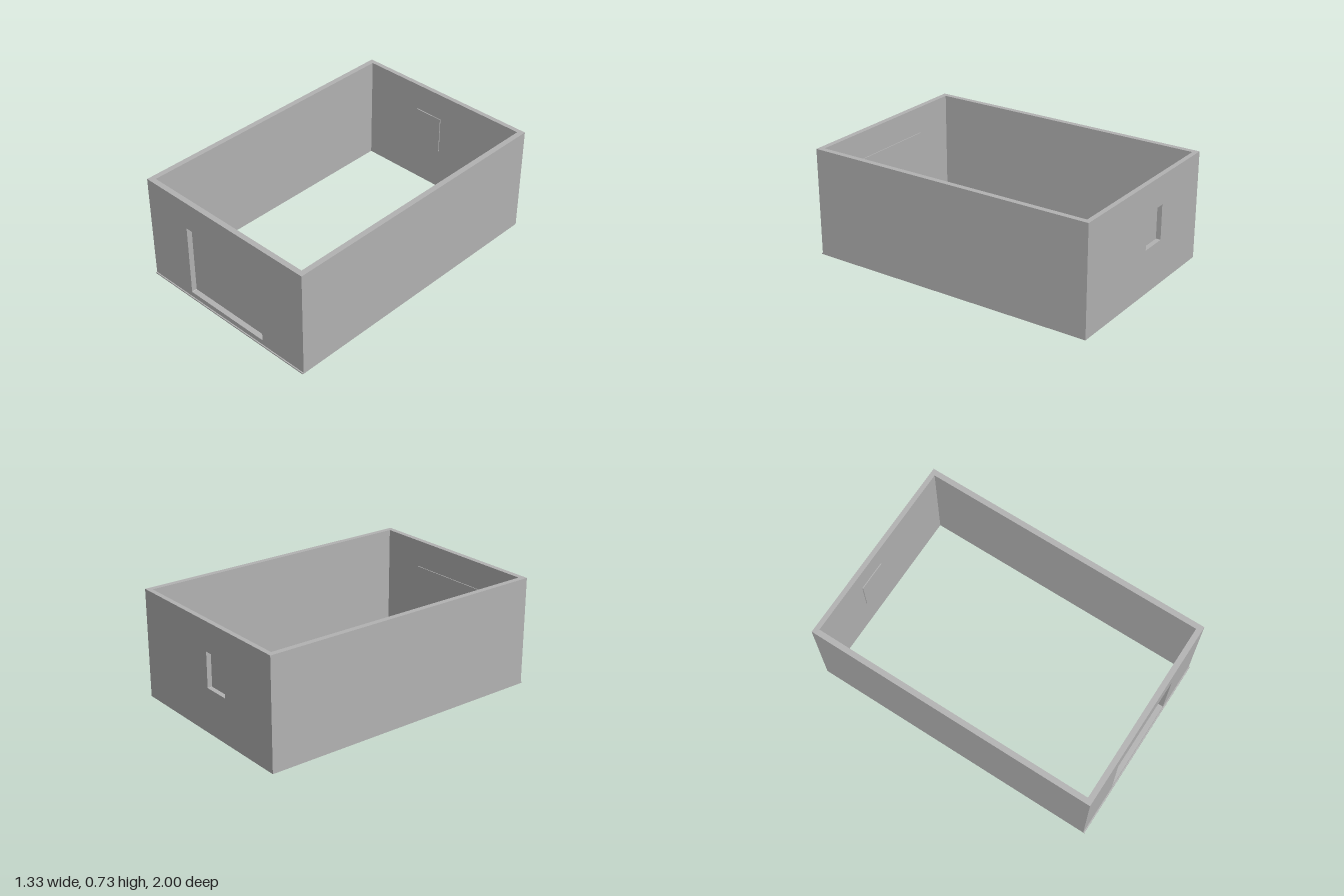
import * as THREE from 'three';

const W = 0.663;   // half width
const H = 0.73;    // wall height
const T = 0.037;   // side wall thickness
const BACK_IN = -0.968, FRONT_IN = 0.955, FRONT_OUT = 0.992;

const grey = new THREE.MeshStandardMaterial({ color: 0xb3b3b3 });
grey.name = 'grey';

function box(name, x0, x1, y0, y1, z0, z1) {
  const mesh = new THREE.Mesh(new THREE.BoxGeometry(x1 - x0, y1 - y0, z1 - z0), grey);
  mesh.position.set((x0 + x1) / 2, (y0 + y1) / 2, (z0 + z1) / 2);
  mesh.name = name;
  return mesh;
}

// Rectangle with slightly rounded corners
function roundedRect(path, x0, x1, y0, y1, r) {
  path.moveTo(x0 + r, y0);
  path.lineTo(x1 - r, y0);
  path.quadraticCurveTo(x1, y0, x1, y0 + r);
  path.lineTo(x1, y1 - r);
  path.quadraticCurveTo(x1, y1, x1 - r, y1);
  path.lineTo(x0 + r, y1);
  path.quadraticCurveTo(x0, y1, x0, y1 - r);
  path.lineTo(x0, y0 + r);
  path.quadraticCurveTo(x0, y0, x0 + r, y0);
  return path;
}

// End wall pierced by one opening
function endWall(name, opening, radius, z0, z1) {
  const shape = new THREE.Shape();
  shape.moveTo(-W, 0);
  shape.lineTo(W, 0);
  shape.lineTo(W, H);
  shape.lineTo(-W, H);
  shape.closePath();
  shape.holes.push(roundedRect(new THREE.Path(), ...opening, radius));
  const geometry = new THREE.ExtrudeGeometry(shape, { depth: z1 - z0, bevelEnabled: false, curveSegments: 3 });
  const mesh = new THREE.Mesh(geometry, grey);
  mesh.position.z = z0;
  mesh.name = name;
  return mesh;
}

export function createModel() {
  const group = new THREE.Group();
  group.name = 'walledEnclosure';

  // Long side walls
  group.add(box('rightWall', -W, -W + T, 0, H, BACK_IN, FRONT_IN));
  group.add(box('leftWall', W - T, W, 0, H, BACK_IN, FRONT_IN));

  // Front wall with a large recess, closed by a panel on its inside
  group.add(endWall('frontWall', [-0.319, 0.317, 0.042, 0.538], 0.005, FRONT_IN, FRONT_OUT));
  group.add(box('frontPanel', -0.328, 0.326, 0.033, 0.547, FRONT_IN - 0.006, FRONT_IN));

  // Narrow lip along the foot of the front wall
  group.add(box('frontLip', -W, W, 0, 0.008, FRONT_OUT, 1));

  // Back wall with a small recess, closed the same way
  group.add(endWall('backWall', [-0.197, -0.012, 0.3, 0.535], 0.002, -1, BACK_IN));
  group.add(box('backPanel', -0.207, -0.002, 0.29, 0.545, BACK_IN, BACK_IN + 0.006));

  return group;
}
